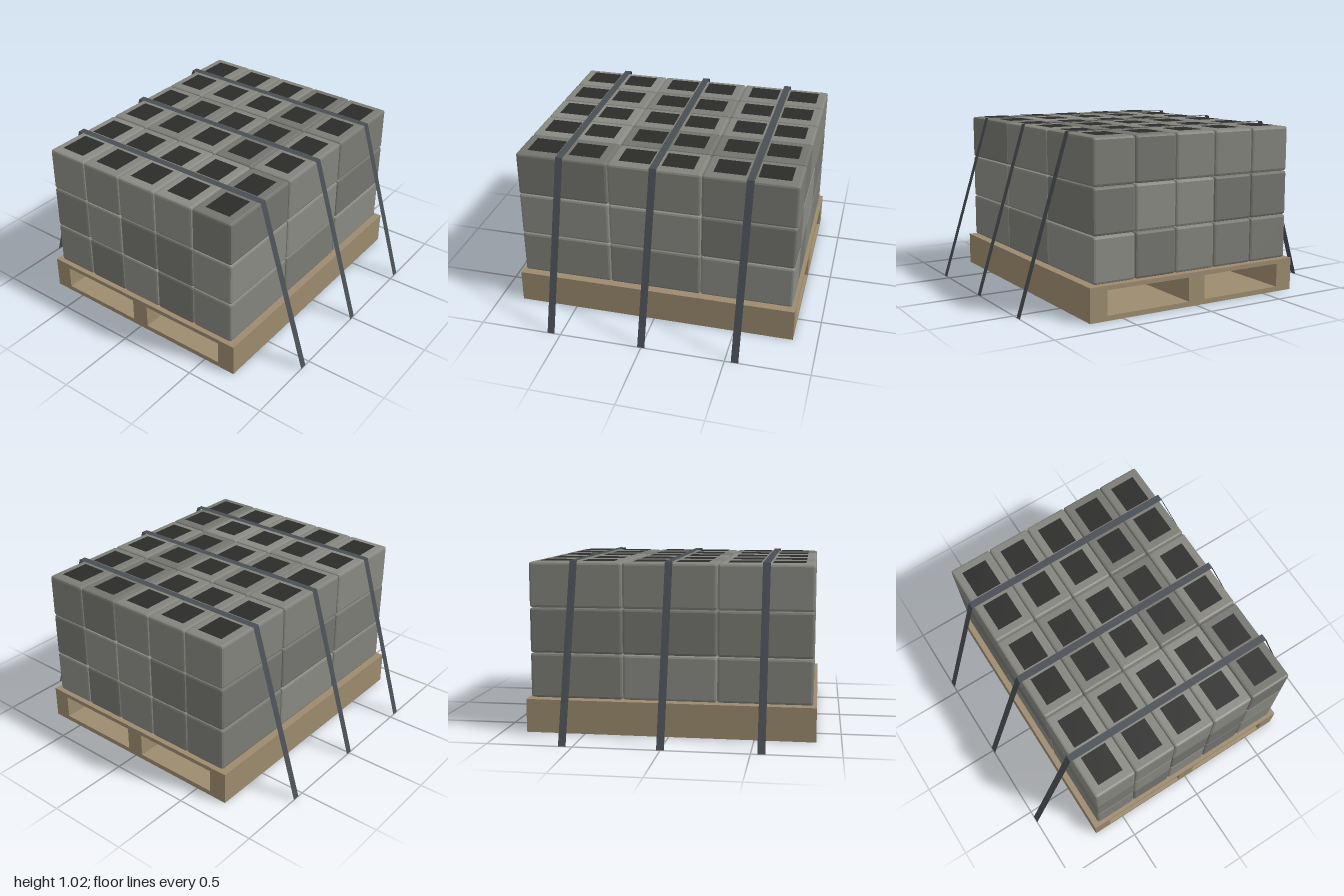
import * as THREE from 'three';
import { RoundedBoxGeometry } from 'three/addons/geometries/RoundedBoxGeometry.js';

const paint = (color, extra = {}) => {
  const m = new THREE.MeshStandardMaterial({ flatShading: true, ...extra });
  m.color.set(color);
  return m;
};

function addMesh(parent, name, geometry, material, x = 0, y = 0, z = 0) {
  const mesh = new THREE.Mesh(geometry, material);
  mesh.name = name;
  mesh.position.set(x, y, z);
  parent.add(mesh);
  return mesh;
}

// Rectangle outline for shapes and holes
const rect = (path, x0, y0, x1, y1) =>
  path.moveTo(x0, y0).lineTo(x1, y0).lineTo(x1, y1).lineTo(x0, y1).closePath();

// Pallet: solid profile with two fork tunnels running front to back
function createPallet() {
  const group = new THREE.Group();
  group.name = 'pallet';
  const shape = rect(new THREE.Shape(), -0.71, 0, 0.71, 0.175);
  for (const [x0, x1] of [[-0.6, -0.055], [0.055, 0.6]]) {
    shape.holes.push(rect(new THREE.Path(), x0, 0.03, x1, 0.174));
  }
  const base = new THREE.ExtrudeGeometry(shape, { depth: 1.71, bevelEnabled: false });
  addMesh(group, 'palletBase', base, paint(0x9c8b6e), 0, 0, -0.855);
  addMesh(group, 'palletDeck', new THREE.BoxGeometry(1.42, 0.026, 1.71), paint(0x9c8a6f), 0, 0.187, 0);
  return group;
}

// Stack of bevelled blocks, with dark core openings on the top layer
function createBlocks() {
  const group = new THREE.Group();
  group.name = 'blocks';
  const w = 0.27, h = 0.27, d = 0.557;
  const block = new RoundedBoxGeometry(w - 0.002, h - 0.002, d - 0.002, 1, 0.014);
  const core = new THREE.PlaneGeometry(0.163, 0.188).rotateX(-Math.PI / 2);
  const tones = [0x7c7c76, 0x84847d, 0x74746f, 0x8a8a84].map((c) => paint(c));
  const dark = paint(0x2b2b2a);
  let seed = 7;
  const random = () => (seed = (seed * 16807) % 2147483647) / 2147483647;

  for (let layer = 0; layer < 3; layer++) {
    for (let col = -2; col <= 2; col++) {
      for (let row = -1; row <= 1; row++) {
        const x = col * w, z = row * d;
        const tone = tones[Math.floor(random() * tones.length)];
        addMesh(group, 'block', block, tone, x, 0.203 + h * (layer + 0.5), z);
        if (layer < 2) continue;
        for (const side of [-1, 1]) addMesh(group, 'coreOpening', core, dark, x, 1.017, z + side * 0.128);
      }
    }
  }
  return group;
}

// Straps: flat ribbons over the load, splayed out to the ground
function createStraps() {
  const group = new THREE.Group();
  group.name = 'straps';
  const profile = [[-1, 0], [-0.685, 1.024], [0.685, 1.024], [1, 0]];
  const ribbon = new THREE.PlaneGeometry(2, 0.044, 3, 1).rotateX(-Math.PI / 2);
  const p = ribbon.attributes.position;
  for (let i = 0; i < p.count; i++) {
    const [x, y] = profile[i % 4];
    p.setXY(i, x, y);
  }
  const geometry = ribbon.toNonIndexed();
  geometry.computeVertexNormals();
  const material = paint(0x494e54, { side: THREE.DoubleSide });
  for (const z of [-0.56, 0, 0.56]) addMesh(group, 'strap', geometry, material, 0, 0, z);
  return group;
}

export function createModel() {
  const model = new THREE.Group();
  model.name = 'strappedBlockPallet';
  model.add(createPallet(), createBlocks(), createStraps());
  return model;
}
